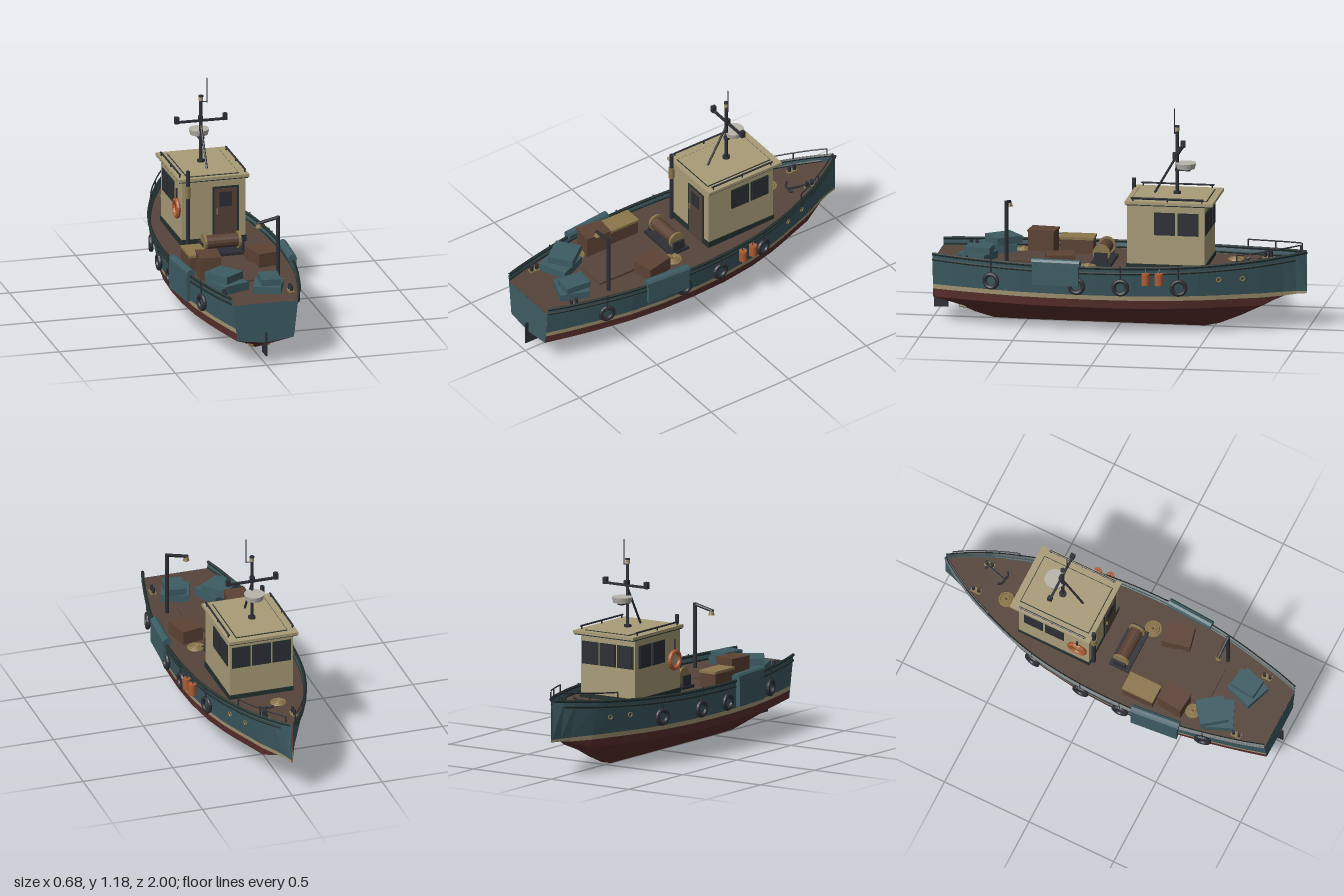
import * as THREE from 'three';

const mat = (name, color, side = THREE.FrontSide) => {
  const m = new THREE.MeshStandardMaterial({ color, flatShading: true, side });
  m.name = name;
  return m;
};
const M = {
  teal: mat('teal paint', 0x3d5c64, THREE.DoubleSide),
  cream: mat('cream paint', 0xaa9c78, THREE.DoubleSide),
  red: mat('bottom red', 0x5c302e, THREE.DoubleSide),
  deck: mat('deck wood', 0x56443a, THREE.DoubleSide),
  dark: mat('dark metal', 0x2d2f36),
  trim: mat('dark trim', 0x23312f),
  tan: mat('brass tan', 0x8c774b),
  orange: mat('safety orange', 0xac5c34),
  white: mat('radar white', 0xb8b5ac),
  wood: mat('crate wood', 0x5c4234),
};

// Hull stations: z, sheer half width, chine half width, keel height, sheer height
const stations = [
  [0.98, 0.182, 0.155, 0.12, 0.378], [0.88, 0.212, 0.18, 0.07, 0.375], [0.78, 0.236, 0.203, 0.03, 0.372],
  [0.68, 0.258, 0.224, 0.003, 0.37], [0.5, 0.291, 0.255, 0, 0.367], [0.3, 0.31, 0.272, 0, 0.365],
  [0.1, 0.315, 0.275, 0, 0.365], [-0.1, 0.307, 0.265, 0, 0.367], [-0.3, 0.283, 0.236, 0, 0.371],
  [-0.45, 0.25, 0.197, 0, 0.376], [-0.53, 0.227, 0.17, 0.018, 0.38], [-0.65, 0.185, 0.125, 0.068, 0.387],
  [-0.76, 0.142, 0.085, 0.122, 0.395], [-0.88, 0.08, 0.038, 0.188, 0.407], [-0.94, 0.044, 0.018, 0.195, 0.413],
  [-0.995, 0.006, 0.004, 0.197, 0.42],
];

function stationAt(z) {
  let i = 0;
  while (i < stations.length - 2 && stations[i + 1][0] > z) i++;
  const a = stations[i], b = stations[i + 1], t = (a[0] - z) / (a[0] - b[0]);
  return a.map((v, k) => v + (b[k] - v) * t);
}
// Half width of the topsides at height y
function widthAt(s, y) {
  const c = Math.max(0.14, s[3]);
  return s[2] + (s[1] - s[2]) * (y - c) / (s[4] - c);
}
const deckY = z => stationAt(z)[4] - 0.037;

// Surface between two rails of points
function strip(railA, railB) {
  const pos = [], idx = [];
  railA.forEach((a, i) => {
    pos.push(...a, ...railB[i]);
    if (i) { const k = i * 2; idx.push(k - 2, k - 1, k, k - 1, k + 1, k); }
  });
  const g = new THREE.BufferGeometry();
  g.setAttribute('position', new THREE.Float32BufferAttribute(pos, 3));
  g.setIndex(idx);
  g.computeVertexNormals();
  return g;
}

export function createModel() {
  const boat = new THREE.Group();
  boat.name = 'fishingBoat';
  const add = (name, geo, m, x = 0, y = 0, z = 0, parent = boat) => {
    const mesh = new THREE.Mesh(geo, m);
    mesh.name = name;
    mesh.position.set(x, y, z);
    parent.add(mesh);
    return mesh;
  };
  const box = (name, m, w, h, d, x, y, z, ry = 0) => {
    const b = add(name, new THREE.BoxGeometry(w, h, d), m, x, y, z);
    b.rotation.y = ry;
    return b;
  };
  const cyl = (name, m, r, h, x, y, z, n = 12) => add(name, new THREE.CylinderGeometry(r, r, h, n), m, x, y, z);
  const bar = (name, m, r, a, b, n = 6) => {
    const p = new THREE.Vector3(...a), q = new THREE.Vector3(...b), d = q.clone().sub(p);
    const mesh = cyl(name, m, r, d.length(), 0, 0, 0, n);
    mesh.position.copy(p.add(q).multiplyScalar(0.5));
    mesh.quaternion.setFromUnitVectors(new THREE.Vector3(0, 1, 0), d.normalize());
    return mesh;
  };
  const path = (name, m, r, pts) => {
    const curve = new THREE.CatmullRomCurve3(pts.map(p => new THREE.Vector3(...p)));
    return add(name, new THREE.TubeGeometry(curve, 40, r, 5), m);
  };

  // Hull skin, rails and bow rail on both sides
  for (const s of [1, -1]) {
    const level = y => stations.map(t => {
      const yy = Math.max(y, t[3]);
      return [s * widthAt(t, yy), yy, t[0]];
    });
    const keel = stations.map(t => [0, t[3], t[0]]);
    const sheer = stations.map(t => [s * t[1], t[4], t[0]]);
    add('hullBottom', strip(keel, level(0.14)), M.red);
    add('bootTop', strip(level(0.14), level(0.185)), M.red);
    add('waterlineBand', strip(level(0.185), level(0.21)), M.cream);
    add('topsides', strip(level(0.21), sheer), M.teal);
    path('gunwale', M.trim, 0.009, sheer);
    path('rubRail', M.trim, 0.007, stations.slice(0, -1).map(t => [s * (widthAt(t, t[4] - 0.03) + 0.002), t[4] - 0.03, t[0]]));
    // Bow rail
    const railPts = [-0.65, -0.73, -0.81, -0.89, -0.965].map(z => {
      const t = stationAt(z);
      return [s * t[1], t[4] + 0.045, z];
    });
    path('bowRail', M.dark, 0.004, railPts);
    railPts.forEach((p, i) => i % 2 === 0 && bar('bowRailPost', M.dark, 0.004, [p[0], p[1] - 0.05, p[2]], p));
    // Tyre fenders hanging on ropes
    for (const z of [0.655, 0.19, -0.045, -0.35]) {
      const t = stationAt(z), x = s * (widthAt(t, 0.262) + 0.016);
      const tyre = add('tyreFender', new THREE.TorusGeometry(0.036, 0.012, 8, 18), M.dark, x, 0.262, z);
      tyre.rotation.y = Math.PI / 2 + s * Math.atan2(t[1] - stationAt(z + 0.05)[1], 0.05) * -1;
      bar('tyreRope', M.dark, 0.004, [x, 0.295, z], [s * (t[1] + 0.006), t[4] + 0.012, z]);
    }
    // Portholes near the bow
    for (const z of [-0.555, -0.675]) {
      const p = add('porthole', new THREE.TorusGeometry(0.012, 0.004, 6, 12), M.tan, s * (widthAt(stationAt(z), 0.3) + 0.001), 0.3, z);
      p.rotation.y = s * 1.95;
    }
    // Net rolls draped over the bulwark
    const [z0, z1, drop] = s > 0 ? [0.17, 0.43, 0.265] : [0.26, 0.53, 0.225];
    const a = [s * stationAt(z0)[1], 0.38, z0], b = [s * stationAt(z1)[1], 0.38, z1];
    bar('netRoll', M.teal, 0.024, a, b, 10);
    const yaw = Math.atan2(b[0] - a[0], z1 - z0);
    box('hangingNet', M.teal, 0.022, 0.385 - drop, z1 - z0 - 0.01, (a[0] + b[0]) / 2 + s * 0.012, (0.385 + drop) / 2, (z0 + z1) / 2, yaw);
    // Mooring bitts and hull anodes
    for (const [x, z] of [[0.08, -0.775], [0.182, 0.815]]) {
      box('bittBase', M.tan, 0.03, 0.008, 0.056, s * x, deckY(z) + 0.004, z);
      for (const dz of [-0.016, 0.016]) cyl('bitt', M.dark, 0.009, 0.035, s * x, deckY(z) + 0.02, z + dz, 8);
    }
    box('anode', M.tan, 0.025, 0.012, 0.04, s * 0.045, 0.068, 0.84).rotation.z = s * 0.35;
    // Roof grab rails
    bar('roofRail', M.dark, 0.005, [s * 0.178, 0.722, -0.47], [s * 0.178, 0.722, -0.08]);
    for (const z of [-0.46, -0.275, -0.09]) bar('roofRailPost', M.dark, 0.004, [s * 0.178, 0.7, z], [s * 0.178, 0.722, z]);
    // Cabin side windows
    for (const z of [-0.262, -0.387]) {
      box('windowFrame', M.trim, 0.006, 0.122, 0.112, s * 0.177, 0.585, z);
      box('sideWindow', M.dark, 0.008, 0.108, 0.098, s * 0.178, 0.585, z);
    }
  }

  // Deck and transom
  const deckRail = s => stations.map(t => [s * (widthAt(t, t[4] - 0.037) - 0.001), t[4] - 0.037, t[0]]);
  add('deck', strip(deckRail(-1), deckRail(1)), M.deck);
  const transom = new THREE.Shape([[0, 0.12], [0.155, 0.14], [0.178, 0.341], [-0.178, 0.341], [-0.155, 0.14]].map(p => new THREE.Vector2(...p)));
  add('transom', new THREE.ShapeGeometry(transom), M.teal, 0, 0, 0.981);
  box('rudder', M.dark, 0.008, 0.13, 0.075, 0, 0.115, 0.9625);

  // Wheelhouse
  box('cabin', M.cream, 0.35, 0.365, 0.415, 0, 0.512, -0.267);
  box('cabinBase', M.trim, 0.358, 0.04, 0.423, 0, 0.345, -0.267);
  box('roof', M.cream, 0.385, 0.016, 0.47, 0, 0.697, -0.285);
  box('roofEdge', M.trim, 0.377, 0.008, 0.46, 0, 0.687, -0.285);
  box('roofPanelEdge', M.trim, 0.286, 0.004, 0.406, 0, 0.706, -0.28);
  box('roofPanel', M.cream, 0.278, 0.008, 0.398, 0, 0.707, -0.28);
  for (const x of [-0.113, 0, 0.113]) {
    box('windowFrame', M.trim, 0.102, 0.122, 0.006, x, 0.585, -0.476);
    box('frontWindow', M.dark, 0.088, 0.108, 0.008, x, 0.585, -0.477);
  }
  box('doorFrame', M.trim, 0.142, 0.315, 0.006, 0.065, 0.49, -0.058);
  box('door', M.deck, 0.122, 0.3, 0.008, 0.065, 0.487, -0.056);
  box('doorWindow', M.dark, 0.068, 0.082, 0.006, 0.063, 0.577, -0.053);
  box('doorHandle', M.tan, 0.008, 0.03, 0.01, 0.016, 0.512, -0.049);

  // Lifebuoy on the cabin side
  const buoy = add('lifebuoy', new THREE.TorusGeometry(0.045, 0.012, 8, 20), M.orange, -0.187, 0.525, -0.125);
  buoy.rotation.y = Math.PI / 2;
  bar('lifebuoyHook', M.dark, 0.005, [-0.187, 0.57, -0.125], [-0.187, 0.635, -0.125]);

  // Exhaust stack
  cyl('exhaustStack', M.dark, 0.011, 0.42, -0.146, 0.542, -0.046);
  cyl('exhaustSleeve', M.tan, 0.016, 0.066, -0.146, 0.634, -0.046);

  // Mast with crossbar, radar and antenna
  cyl('mastFoot', M.dark, 0.02, 0.014, -0.005, 0.716, -0.3);
  cyl('mast', M.dark, 0.009, 0.35, -0.005, 0.88, -0.3, 8);
  cyl('mastLight', M.cream, 0.012, 0.022, -0.005, 1.062, -0.3);
  cyl('mastLightCap', M.dark, 0.013, 0.007, -0.005, 1.076, -0.3);
  bar('mastBrace', M.dark, 0.006, [-0.005, 0.92, -0.3], [-0.005, 0.712, -0.18]);
  box('crossbar', M.dark, 0.285, 0.012, 0.012, -0.003, 0.936, -0.31);
  box('crossbarMount', M.dark, 0.022, 0.025, 0.025, -0.005, 0.95, -0.308);
  for (const x of [-0.135, 0.13]) box('floodlight', M.dark, 0.022, 0.036, 0.024, x, 0.948, -0.31);
  box('radarBracket', M.dark, 0.03, 0.012, 0.08, -0.003, 0.843, -0.33);
  add('radarDome', new THREE.CylinderGeometry(0.055, 0.048, 0.03, 20), M.white, -0.003, 0.865, -0.347);
  bar('antenna', M.dark, 0.0025, [0.025, 1.04, -0.29], [0.025, 1.178, -0.29]);
  bar('antennaArm', M.dark, 0.003, [-0.005, 1.045, -0.3], [0.025, 1.045, -0.29]);

  // Davit with work lamp
  cyl('davitPost', M.dark, 0.011, 0.35, 0.176, 0.505, 0.585, 8);
  bar('davitArm', M.dark, 0.009, [0.18, 0.675, 0.585], [0.06, 0.648, 0.585]);
  add('davitLamp', new THREE.CylinderGeometry(0.009, 0.018, 0.022, 10), M.tan, 0.07, 0.637, 0.585);

  // Winch
  box('winchBase', M.dark, 0.25, 0.016, 0.115, 0, 0.336, 0.09);
  bar('winchDrum', M.wood, 0.036, [-0.09, 0.395, 0.09], [0.09, 0.395, 0.09], 14);
  for (const s of [-1, 1]) {
    bar('drumFlange', M.tan, 0.047, [s * 0.088, 0.395, 0.09], [s * 0.1, 0.395, 0.09], 16);
    box('winchSide', M.dark, 0.012, 0.07, 0.07, s * 0.113, 0.365, 0.09);
  }

  // Hatch, crates and net boxes
  box('hatch', M.deck, 0.225, 0.014, 0.28, 0.003, 0.336, 0.46);
  const crates = [
    ['tanCrate', M.wood, 0.1, 0.08, 0.175, -0.192, 0.33, 0.26, 0],
    ['tanCrateLid', M.tan, 0.106, 0.014, 0.182, -0.192, 0.405, 0.26, 0],
    ['tallCrate', M.wood, 0.11, 0.115, 0.14, -0.167, 0.33, 0.442, -0.1],
    ['tallCrateLid', M.wood, 0.116, 0.01, 0.147, -0.167, 0.445, 0.442, -0.1],
    ['lowCrate', M.wood, 0.12, 0.075, 0.155, 0.167, 0.33, 0.298, 0.22],
    ['netBox', M.teal, 0.16, 0.045, 0.17, -0.13, 0.335, 0.68, 0.4],
    ['netBox', M.teal, 0.14, 0.04, 0.15, -0.14, 0.38, 0.65, 0.65],
    ['netBox', M.teal, 0.15, 0.04, 0.16, 0.075, 0.335, 0.755, -0.35],
    ['netBox', M.teal, 0.105, 0.035, 0.14, 0.085, 0.375, 0.745, -0.1],
  ];
  for (const [n, m, w, h, d, x, y, z, r] of crates) box(n, m, w, h, d, x, y + h / 2, z, r);

  // Coiled ropes
  for (const [x, z, r] of [[0.157, 0.155, 0.04], [-0.05, -0.61, 0.036], [-0.163, 0.55, 0.034]]) {
    [1, 0.66, 0.35].forEach((k, i) => {
      const coil = add('ropeCoil', new THREE.TorusGeometry(r * k, 0.008, 6, 18), M.tan, x, deckY(z) + 0.007 + i * 0.003, z);
      coil.rotation.x = Math.PI / 2;
    });
  }

  // Anchor on the foredeck
  const ay = deckY(-0.72) + 0.012;
  bar('anchorShank', M.dark, 0.007, [0.075, ay, -0.79], [0.04, ay, -0.67]);
  bar('anchorStock', M.dark, 0.005, [0.05, ay, -0.785], [0.095, ay, -0.77]);
  path('anchorFlukes', M.dark, 0.007, [[-0.002, ay + 0.012, -0.69], [0.015, ay, -0.67], [0.04, ay, -0.665], [0.066, ay, -0.662], [0.085, ay + 0.012, -0.672]]);

  // Orange buoys on the left side
  for (const z of [-0.182, -0.252]) {
    const x = stationAt(z)[1] + 0.022;
    cyl('buoy', M.orange, 0.022, 0.062, x, 0.315, z);
    bar('buoyRope', M.dark, 0.003, [x, 0.345, z], [x - 0.02, 0.375, z]);
  }
  return boat;
}
